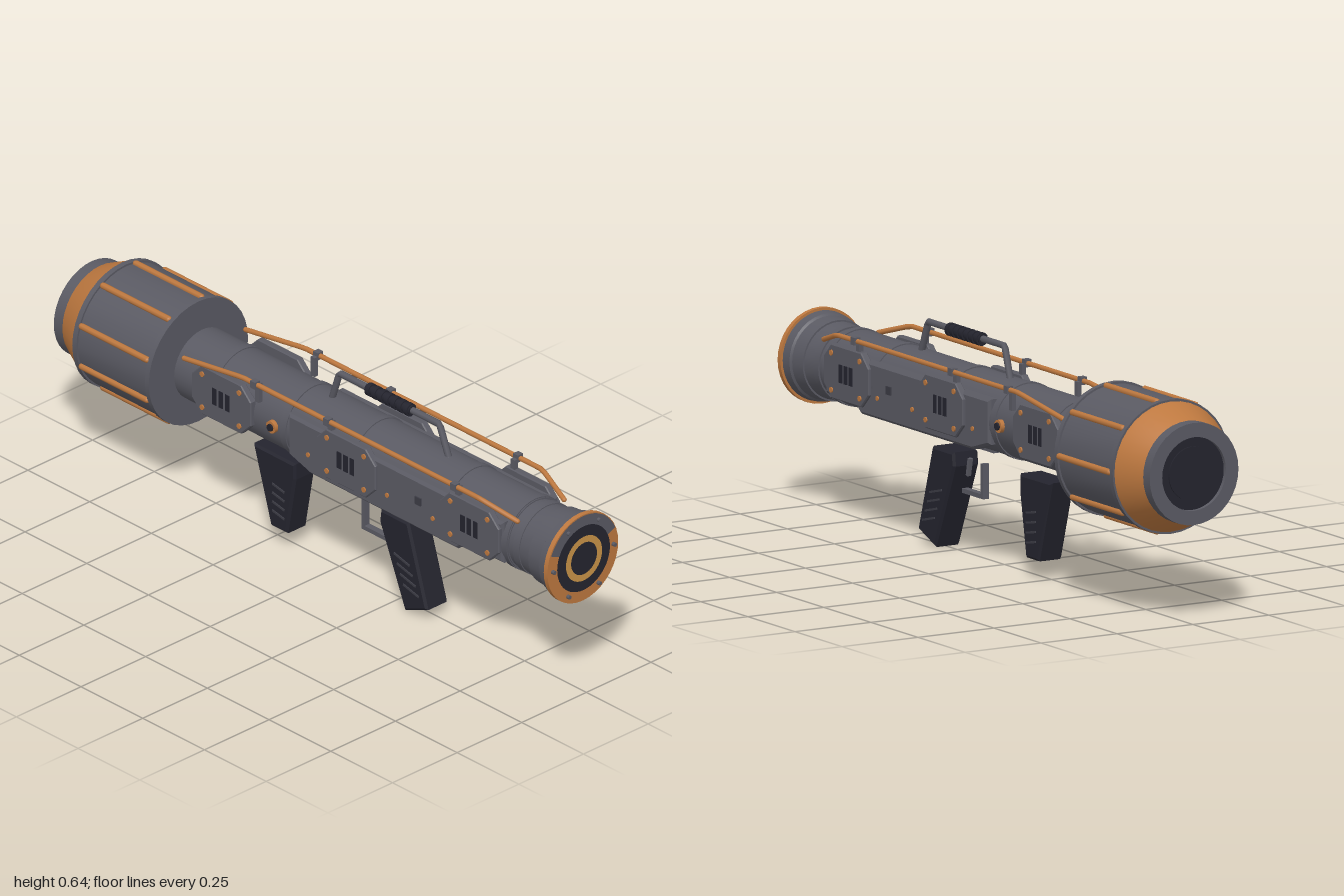
import * as THREE from 'three';
import { toCreasedNormals } from 'three/addons/utils/BufferGeometryUtils.js';

const mat = (name, color) => Object.assign(new THREE.MeshStandardMaterial({ color }), { name });

export function createModel() {
  const grey = mat('gunmetal', 0x5a5a63);
  const orange = mat('copper', 0xbd783f);
  const gold = mat('gold', 0xca9448);
  const black = mat('blackGrip', 0x24242e);
  const trim = mat('darkTrim', 0x3c3c45);
  const AX = 0.432; // height of the tube axis

  const model = new THREE.Group();
  model.name = 'shoulderLauncher';
  const body = new THREE.Group();
  body.name = 'launcher';
  body.position.x = -0.004;
  model.add(body);

  const add = (name, geo, material, x = 0, y = 0, z = 0) => {
    const m = new THREE.Mesh(geo, material);
    m.name = name;
    m.position.set(x, y, z);
    body.add(m);
    return m;
  };
  // Solid of revolution along z from [radius, z] pairs in rising z
  const turned = (name, pts, material, sides = 36) => {
    const g = new THREE.LatheGeometry(pts.map(p => new THREE.Vector2(...p)), sides);
    g.rotateX(Math.PI / 2);
    return add(name, toCreasedNormals(g, 0.5), material, 0, AX, 0);
  };
  const drum = (name, r, z0, z1, material) => turned(name, [[0, z0], [r, z0], [r, z1], [0, z1]], material);
  // Side outline in [z, y], extruded along x and centred
  const slab = (pts, width, bevel = 0) => {
    const s = new THREE.Shape(pts.map(p => new THREE.Vector2(...p)));
    const g = new THREE.ExtrudeGeometry(s, {
      depth: width - 2 * bevel, bevelEnabled: bevel > 0, bevelSize: bevel,
      bevelOffset: -bevel, bevelThickness: bevel, bevelSegments: 1
    });
    g.translate(0, 0, -(width - 2 * bevel) / 2);
    return g.rotateY(-Math.PI / 2);
  };
  // Straight-segment pipe through points
  const pipe = (name, pts, r, material) => {
    const path = new THREE.CurvePath();
    const v = pts.map(p => new THREE.Vector3(...p));
    for (let i = 1; i < v.length; i++) path.add(new THREE.LineCurve3(v[i - 1], v[i]));
    add(name, new THREE.TubeGeometry(path, 48, r, 8), material);
    for (const p of [v[0], v[v.length - 1]]) add(name + 'End', new THREE.SphereGeometry(r, 8, 6), material, p.x, p.y, p.z);
  };
  const rod = (r, len) => new THREE.CylinderGeometry(r, r, len, 12);
  const stud = (name, r, len, material, x, y, z) => {
    add(name, rod(r, len).rotateZ(Math.PI / 2), material, x, y, z);
  };

  // Main tube, bands and flared muzzle
  drum('mainTube', 0.108, -0.552, 0.8, grey);
  for (const z of [-0.4, -0.11, 0.16, 0.54, 0.785]) drum('tubeBand', 0.1115, z - 0.012, z + 0.012, grey);
  turned('muzzleFlare', [[0, 0.78], [0.104, 0.78], [0.104, 0.82], [0.109, 0.82], [0.109, 0.845], [0.106, 0.845],
    [0.111, 0.89], [0.116, 0.89], [0.12, 0.94], [0.126, 0.945], [0.13, 0.98], [0, 0.98]], grey);
  drum('muzzleRim', 0.137, 0.975, 0.99, orange);

  // Muzzle face
  const disc = (name, r0, r1, z, material, a0 = 0, a1 = Math.PI * 2) =>
    add(name, new THREE.RingGeometry(r0, r1, 48, 1, a0, a1), material, 0, AX, z);
  disc('muzzleUpperPlate', 0.1, 0.134, 0.9915, grey, 0.39, Math.PI - 0.78);
  disc('muzzleDark', 0, 0.102, 0.993, black);
  disc('muzzleGoldRing', 0.05, 0.07, 0.995, gold);
  for (let i = 0; i < 6; i++) {
    const a = i * Math.PI / 3;
    add('muzzleBolt', rod(0.006, 0.015).rotateX(Math.PI / 2), grey, 0.117 * Math.cos(a), AX + 0.117 * Math.sin(a), 0.9925);
  }

  // Rear drum with copper ribs and tapered end
  turned('rearDrum', [[0, -0.877], [0.192, -0.877], [0.192, -0.86], [0.186, -0.86], [0.186, -0.583],
    [0.192, -0.583], [0.192, -0.567], [0, -0.567]], grey);
  for (let i = 0; i < 9; i++) {
    const a = i * Math.PI * 2 / 9;
    add('drumRib', new THREE.CapsuleGeometry(0.0095, 0.265, 3, 8).rotateX(Math.PI / 2), orange,
      0.188 * Math.cos(a), AX + 0.188 * Math.sin(a), -0.7215);
  }
  turned('rearCone', [[0.14, -0.965], [0.146, -0.965], [0.182, -0.89], [0.186, -0.877]], orange);
  turned('rearRing', [[0.105, -0.985], [0.105, -1], [0.146, -1], [0.146, -0.96], [0, -0.96]], grey);
  drum('rearDark', 0.106, -0.988, -0.97, black);
  drum('rearCore', 0.077, -0.992, -0.98, black);

  // Flat-sided housing around the tube
  add('housing', slab([[0.63, 0.37], [0.595, 0.342], [0.0, 0.342], [-0.09, 0.37], [-0.09, 0.5], [0.78, 0.5], [0.78, 0.37]], 0.222, 0.008), grey);
  add('underPlate', slab([[0.44, 0.324], [0.44, 0.345], [0, 0.345], [0, 0.324]], 0.08), grey);

  const c = 0.04, w = 0.12, h = 0.0775;
  const octagon = [[-w, c - h], [c - w, -h], [w - c, -h], [w, c - h], [w, h - c], [w - c, h], [c - w, h], [-w, h - c]];
  for (const s of [1, -1]) {
    // Vented side panels with corner bolts
    for (const z of [0.655, 0.155, -0.35]) {
      add('sidePanel', slab(octagon, 0.022, 0.003), grey, s * 0.109, 0.4425, z);
      for (const d of [-0.026, 0, 0.026]) add('ventSlot', new THREE.BoxGeometry(0.004, 0.052, 0.017), black, s * 0.12, 0.4425, z + d);
      for (const dz of [-0.075, 0.075]) for (const dy of [-0.053, 0.053])
        stud('panelBolt', 0.008, 0.006, orange, s * 0.121, 0.4425 + dy, z + dz);
    }
    // Small rivets, socket and round knob
    for (const z of [0.5, 0.315, -0.005]) stud('rivet', 0.007, 0.006, orange, s * 0.112, 0.403, z);
    add('socket', new THREE.BoxGeometry(0.008, 0.024, 0.024), trim, s * 0.111, 0.435, 0.44);
    stud('knobBase', 0.019, 0.02, orange, s * 0.109, 0.435, -0.15);
    stud('knobCap', 0.011, 0.012, black, s * 0.119, 0.435, -0.15);

    // Copper side rail and its clips
    pipe('sideRail', [[s * 0.09, 0.515, 0.82], [s * 0.121, 0.551, 0.7], [s * 0.121, 0.551, -0.26], [s * 0.119, 0.515, -0.5]], 0.0075, orange);
    for (const z of [0.6, 0.085, -0.21]) {
      add('railClip', new THREE.BoxGeometry(0.02, 0.022, 0.02), grey, s * 0.122, 0.551, z);
      add('railBracket', new THREE.BoxGeometry(0.014, 0.06, 0.016), grey, s * 0.108, 0.52, z);
    }
  }

  // Carrying handle
  pipe('carryHandle', [[0, 0.535, 0.447], [0, 0.626, 0.41], [0, 0.626, 0.005], [0, 0.535, -0.025]], 0.01, grey);
  add('handleGrip', rod(0.015, 0.18).rotateX(Math.PI / 2), black, 0, 0.625, 0.21);
  for (let i = 0; i < 7; i++) add('handleGripRidge', rod(0.0195, 0.014).rotateX(Math.PI / 2), black, 0, 0.624, 0.132 + i * 0.026);

  // Pistol grip and fore grip with side ridges
  add('pistolGrip', slab([[0.325, 0.29], [0.212, 0.29], [0.207, 0.25], [0.31, 0.003], [0.402, 0.04]], 0.084, 0.007), black);
  add('rearGrip', slab([[-0.135, 0.29], [-0.305, 0.29], [-0.235, 0.055], [-0.168, 0.055], [-0.135, 0.24]], 0.08, 0.007), black);
  for (const s of [1, -1]) for (let i = 0; i < 4; i++) {
    const a = add('gripRidge', new THREE.BoxGeometry(0.006, 0.006, 0.065), trim, s * 0.042, 0.165 - i * 0.0285, 0.302 + i * 0.0125);
    a.rotation.x = 0.25;
    const b = add('rearGripRidge', new THREE.BoxGeometry(0.006, 0.006, 0.05), trim, s * 0.04, 0.19 - i * 0.0285, -0.2);
    b.rotation.x = 0.2;
  }

  // Trigger and guard
  const bar = (name, sy, sz, y, z, sx = 0.02) => add(name, new THREE.BoxGeometry(sx, sy, sz), grey, 0, y, z);
  bar('guardBottom', 0.013, 0.112, 0.178, 0.16);
  bar('guardFront', 0.1, 0.013, 0.222, 0.11);
  bar('trigger', 0.052, 0.01, 0.248, 0.193, 0.012).rotation.x = -0.2;

  return model;
}
